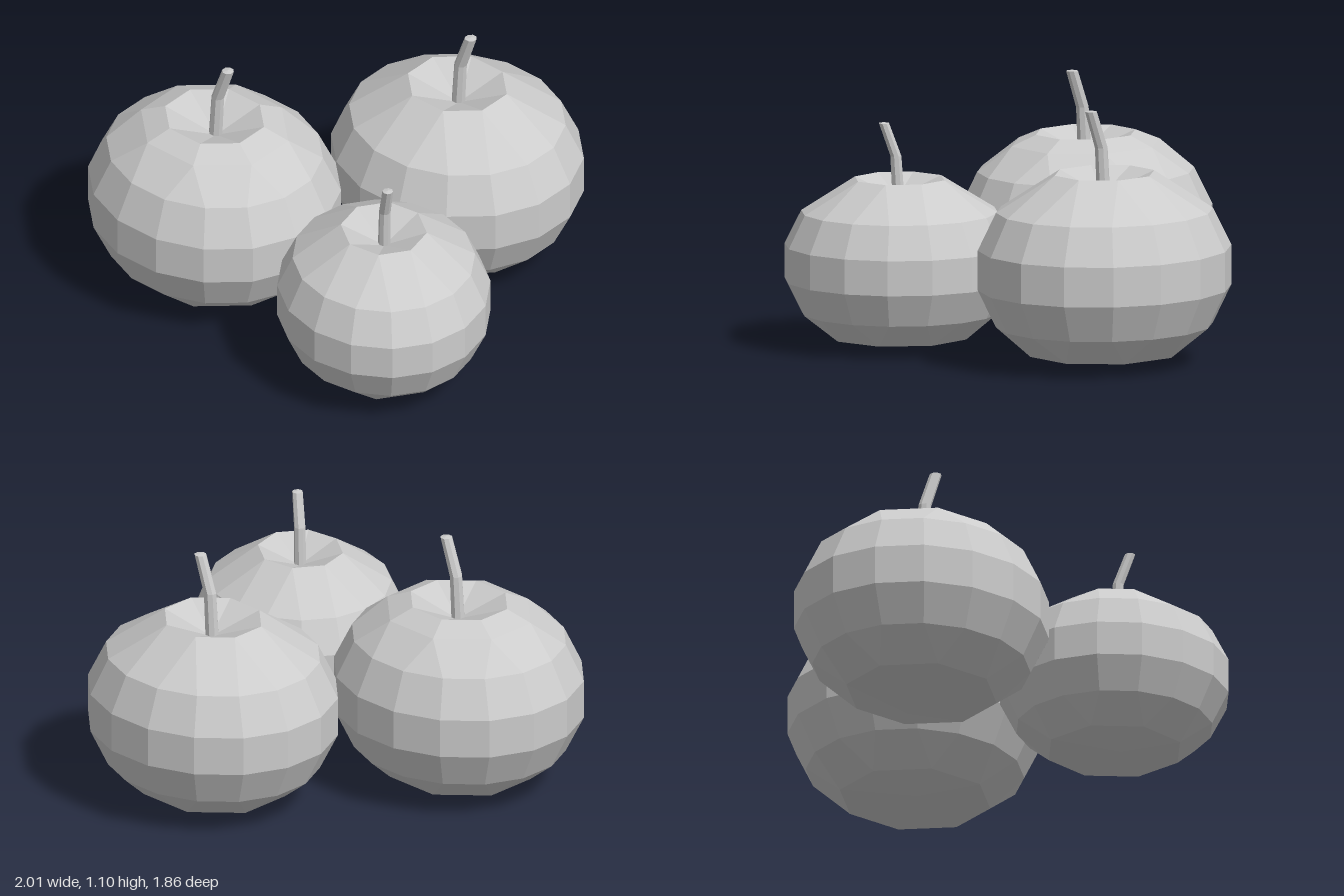
import * as THREE from 'three';

const DEPTH = 0.92; // fruits are slightly narrower front to back

// Faceted skin over stacked rings [radius, y, sides, dx, dz], listed from bottom to top.
// A ring with half the sides shares each of its corners between two neighbours.
function skin(rings, sides, depth = 1) {
  const pts = rings.map(([r, y, n = sides, dx = 0, dz = 0]) => {
    const step = sides / n;
    return Array.from({ length: sides }, (_, i) => {
      const a = ((Math.floor(i / step) + 0.5) / n) * Math.PI * 2;
      return new THREE.Vector3(r * Math.cos(a) + dx, y, r * Math.sin(a) * depth + dz);
    });
  });
  const out = [];
  const tri = (a, b, c) => {
    if (a.distanceTo(b) < 1e-6 || b.distanceTo(c) < 1e-6 || c.distanceTo(a) < 1e-6) return;
    for (const p of [a, b, c]) out.push(p.x, p.y, p.z);
  };
  for (let k = 0; k < pts.length - 1; k++) {
    for (let i = 0; i < sides; i++) {
      const j = (i + 1) % sides;
      tri(pts[k][i], pts[k + 1][i], pts[k][j]);
      tri(pts[k][j], pts[k + 1][i], pts[k + 1][j]);
    }
  }
  const geo = new THREE.BufferGeometry();
  geo.setAttribute('position', new THREE.Float32BufferAttribute(out, 3));
  geo.computeVertexNormals();
  return geo;
}

function createFruit(name, material, { foot, shoulder }) {
  const fruit = new THREE.Group();
  fruit.name = name;

  // Squat body: pointed underside, round belly, flat rim and a dimple
  const body = new THREE.Mesh(skin([
    [0, 0, 16, ...foot],
    [0.335, 0.05, 8],
    [0.475, 0.17],
    [0.555, 0.33],
    [0.555, 0.5],
    [0.475, 0.66],
    ...(shoulder ? [[0.335, 0.775, 8]] : []),
    [0.225, 0.82, 8],
    [0, 0.73, 16, 0.01, 0],
  ], 16, DEPTH), material);
  body.name = 'fruitBody';

  // Stem: upright, then bent to one side, with a slightly tilted cut end
  const stem = new THREE.Mesh(skin([
    [0.03, 0.72, 8, 0.005, 0],
    [0.028, 0.93, 8, 0.018, 0],
    [0.026, 1.09, 8, 0.075, 0],
    [0, 1.095, 8, 0.076, 0],
  ], 8), material);
  stem.name = 'stem';

  fruit.add(body, stem);
  return fruit;
}

export function createModel() {
  const model = new THREE.Group();
  model.name = 'fruitCluster';
  const material = new THREE.MeshStandardMaterial({ color: 0xcccccc, flatShading: true });

  // Two large fruits and a smaller, turned one
  const right = createFruit('rightFruit', material, { foot: [0.02, -0.11], shoulder: true });
  right.position.set(-0.455, 0, 0.42);

  const back = createFruit('backFruit', material, { foot: [-0.08, 0.11], shoulder: false });
  back.position.set(0.16, 0, -0.435);

  const left = createFruit('leftFruit', material, { foot: [0.02, 0.1], shoulder: false });
  left.position.set(0.533, 0, 0.466);
  left.scale.setScalar(0.88);
  left.rotation.y = -0.6;

  model.add(right, back, left);
  return model;
}
